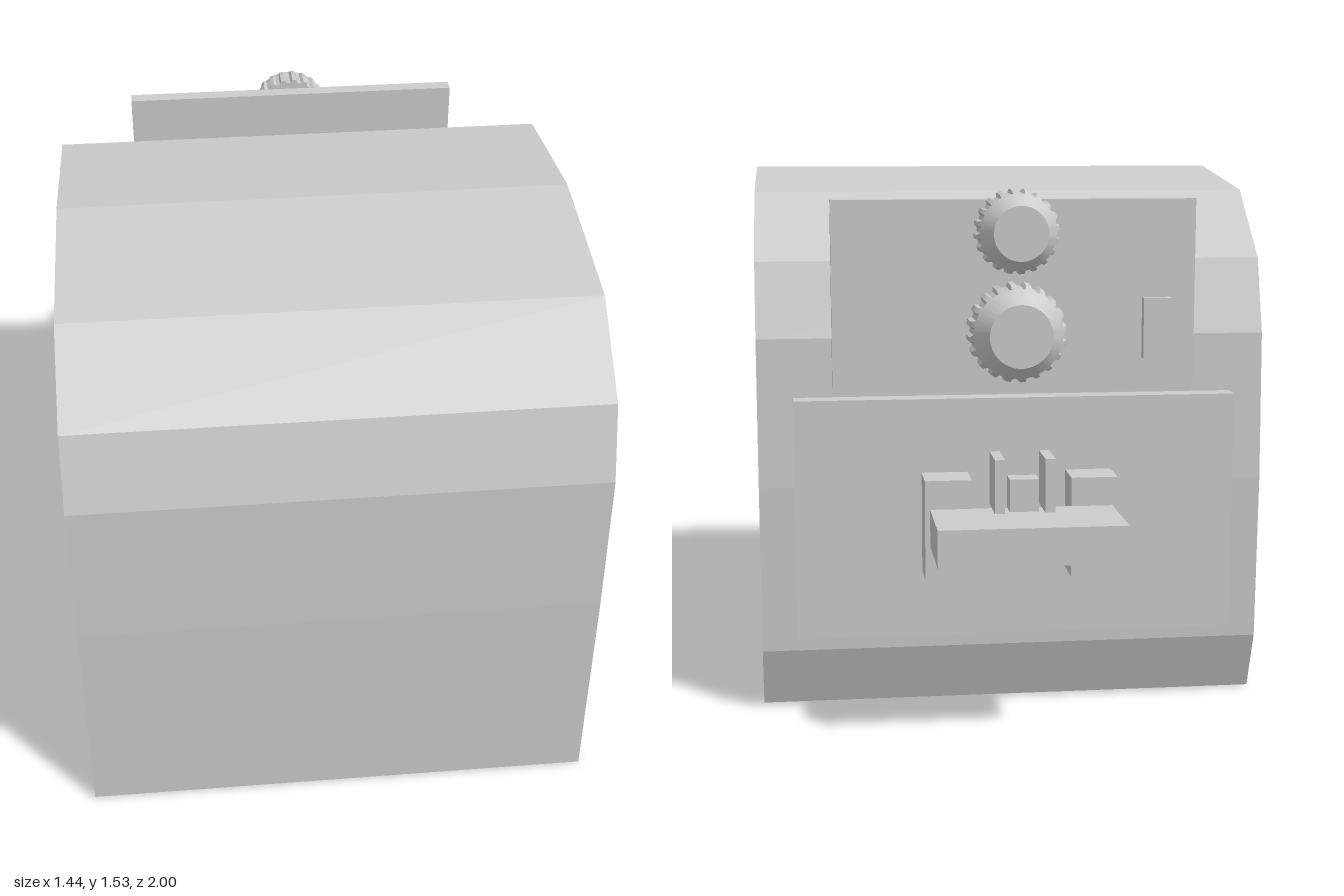
import * as THREE from 'three';
import { toCreasedNormals } from 'three/addons/utils/BufferGeometryUtils.js';

const grey = new THREE.MeshStandardMaterial({ color: 0xcccccc });

export function createModel() {
  const model = new THREE.Group();

  const add = (name, geometry) => {
    const mesh = new THREE.Mesh(geometry, grey);
    mesh.name = name;
    model.add(mesh);
    return mesh;
  };

  // box given by its two extents along each axis
  const box = (name, x0, x1, y0, y1, z0, z1) => {
    const mesh = add(name, new THREE.BoxGeometry(x1 - x0, y1 - y0, z1 - z0));
    mesh.position.set((x0 + x1) / 2, (y0 + y1) / 2, (z0 + z1) / 2);
    return mesh;
  };

  // faceted casing: side outline as [z, y], extruded across the width
  const outline = [
    [1, 0.005], [1, 0.66], [0.985, 1.08], [0.92, 1.29], [0.69, 1.475], [0.21, 1.535],
    [-0.27, 1.475], [-0.49, 1.29], [-0.555, 1.08], [-0.57, 0.66], [-0.555, 0.18], [-0.49, 0.005],
  ];
  const side = new THREE.Shape(outline.map(([z, y]) => new THREE.Vector2(-z, y)));
  const casing = new THREE.ExtrudeGeometry(side, { depth: 1.44, bevelEnabled: false });
  casing.translate(0, 0, -0.72).rotateY(Math.PI / 2);
  add('casing', casing);

  // feet
  for (const x of [-0.46, 0.46]) {
    for (const z of [0.72, -0.285]) {
      add('foot', new THREE.CylinderGeometry(0.078, 0.078, 0.006, 32)).position.set(x, 0.003, z);
    }
  }

  // back panels
  box('controlPanel', -0.51, 0.51, 0.925, 1.465, -0.598, -0.555);
  box('controlSwitch', -0.44, -0.36, 1.02, 1.19, -0.627, -0.595);
  box('doorPanel', -0.62, 0.62, 0.24, 0.918, -0.642, -0.58);

  // mounting rails, handle brackets and latch prongs, mirrored
  for (const s of [-1, 1]) {
    const pair = (name, a, b, ...rest) => box(name, Math.min(s * a, s * b), Math.max(s * a, s * b), ...rest);
    pair('mountingRail', 0.505, 0.61, 0.24, 0.87, -0.582, -0.55);
    pair('handleBracket', 0.138, 0.267, 0.43, 0.71, -0.757, -0.64);
    pair('latchProng', 0.055, 0.083, 0.63, 0.778, -0.827, -0.70);
  }
  box('handle', -0.253, 0.253, 0.527, 0.63, -1, -0.755);
  box('latchBlock', -0.04, 0.04, 0.63, 0.72, -0.81, -0.75);

  // control knob: turned profile with flutes cut into the skirt
  const knob = (name, y, radius, tip, height) => {
    const h = height;
    const profile = [
      [0, 0], [radius, 0], [radius, h * 0.3], [radius * 0.98, h * 0.5], [radius * 0.9, h * 0.6],
      [tip * 1.08, h * 0.8], [tip * 0.96, h * 0.9], [tip, h], [0, h],
    ].map(([r, v]) => new THREE.Vector2(r, v));
    const geometry = new THREE.LatheGeometry(profile, 120);
    const p = geometry.attributes.position;
    for (let i = 0; i < p.count; i++) {
      const x = p.getX(i), z = p.getZ(i);
      if (p.getY(i) > h * 0.55) continue;
      const column = Math.round(Math.atan2(z, x) / (Math.PI * 2) * 120 + 120) % 6;
      const k = column < 3 ? 0.92 : 1;
      p.setX(i, x * k);
      p.setZ(i, z * k);
    }
    geometry.rotateX(-Math.PI / 2);
    add(name, toCreasedNormals(geometry, 0.6)).position.set(0, y, -0.597);
  };
  knob('lowerKnob', 1.1, 0.138, 0.087, 0.148);
  knob('upperKnob', 1.378, 0.117, 0.075, 0.138);

  return model;
}
